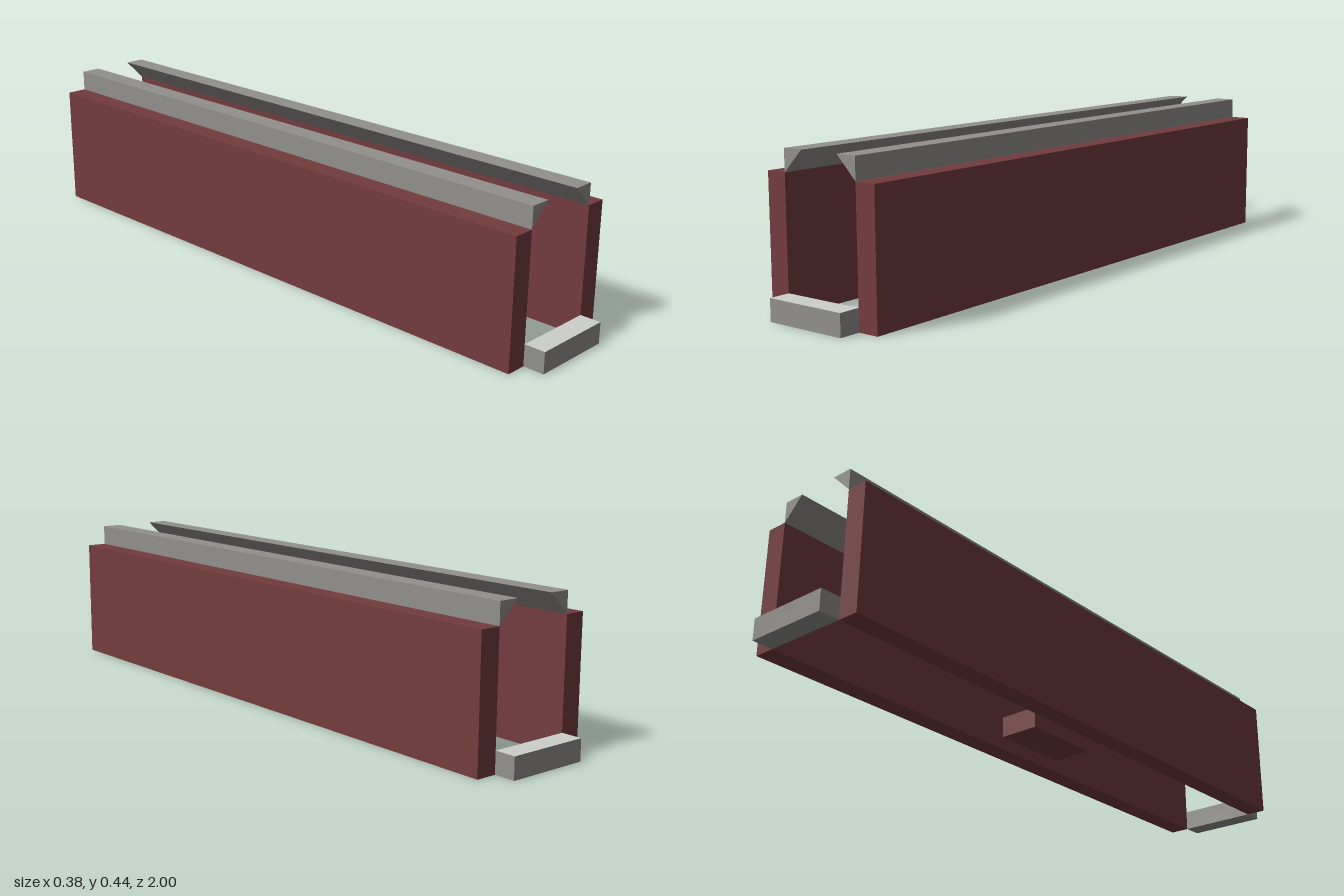
import * as THREE from 'three';

export function createModel() {
  const model = new THREE.Group();
  model.name = 'channelFrame';

  const mat = (name, color) => {
    const m = new THREE.MeshStandardMaterial({ color });
    m.name = name;
    return m;
  };
  const red = mat('brickRed', 0x733c3d);
  const grey = mat('stoneGrey', 0x92908c);
  const pale = mat('paleStone', 0xcdcfcb);

  const U = 0.0625; // basic thickness
  const L = 1.875;  // length of walls and rails

  const add = (name, geometry, material, x = 0, y = 0, z = 0) => {
    const mesh = new THREE.Mesh(geometry, material);
    mesh.name = name;
    mesh.position.set(x, y, z);
    model.add(mesh);
  };

  for (const s of [1, -1]) {
    const side = s > 0 ? 'left' : 'right';

    // Long side wall
    add(side + 'Wall', new THREE.BoxGeometry(U, 0.375, L), red, s * 2.5 * U, 0.1875, 0);

    // Triangular rail leaning inwards from the wall's inner top edge
    const profile = new THREE.Shape([
      new THREE.Vector2(s * 2 * U, 6 * U),
      new THREE.Vector2(s * 2 * U, 7 * U),
      new THREE.Vector2(s * U, 7 * U),
    ]);
    const rail = new THREE.ExtrudeGeometry(profile, { depth: L, bevelEnabled: false });
    add(side + 'Rail', rail, grey, 0, 0, -L / 2);

    // Low end sill with a paler top face
    add(s > 0 ? 'frontSill' : 'backSill', new THREE.BoxGeometry(4 * U, U, U),
      [grey, grey, pale, grey, grey, grey], 0, U / 2, s * (1 - U / 2));
  }

  // Small block in the middle of the channel
  add('centreBlock', new THREE.BoxGeometry(2 * U, U, 4 * U), red, 0, U / 2, 0);

  return model;
}
